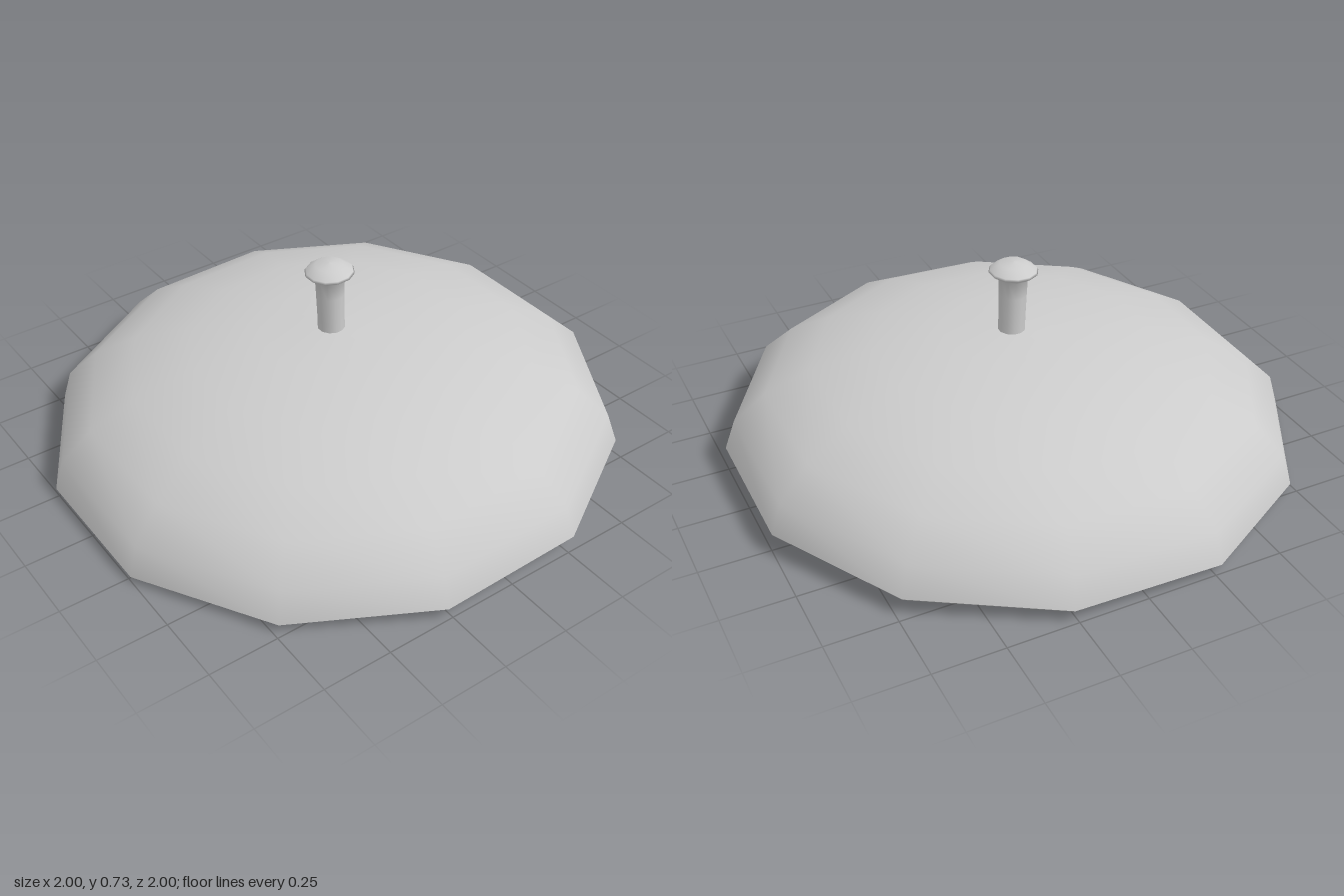
import * as THREE from 'three';

const material = new THREE.MeshStandardMaterial({ color: 0xcccccc, side: THREE.DoubleSide });

// Revolved part whose flat sides (not its corners) lie at the given profile distances
function revolve(name, profile, sides) {
  const k = 1 / Math.cos(Math.PI / sides);
  const points = profile.map(([r, y]) => new THREE.Vector2(r * k, y));
  const mesh = new THREE.Mesh(new THREE.LatheGeometry(points, sides, Math.PI / sides), material);
  mesh.name = name;
  return mesh;
}

export function createModel() {
  const group = new THREE.Group();
  group.name = 'lid';

  // The whole lid rests at a slight tilt
  const lid = new THREE.Group();
  lid.name = 'tiltedLid';
  lid.rotation.set(-0.005, 0, 0.03);
  group.add(lid);

  // Twelve-sided dome, its thin lip and its hollow underside
  lid.add(revolve('domeOuter', [
    [1, 0.05], [0.965, 0.16], [0.855, 0.265], [0.7, 0.35], [0.49, 0.415], [0.245, 0.455], [0, 0.464],
  ], 12));
  lid.add(revolve('rimLip', [
    [0.95, 0.045], [0.966, 0.03], [0.985, 0.035], [1, 0.05],
  ], 12));
  lid.add(revolve('domeInner', [
    [0, 0.435], [0.24, 0.425], [0.48, 0.388], [0.68, 0.325], [0.83, 0.245], [0.93, 0.145], [0.95, 0.045],
  ], 12));

  // Knob: stem flaring into a small mushroom cap
  const knob = revolve('knob', [
    [0.048, 0.44], [0.047, 0.5], [0.049, 0.6], [0.051, 0.665], [0.085, 0.69], [0.08, 0.697], [0.048, 0.72], [0, 0.725],
  ], 12);
  knob.position.x = 0.01;
  lid.add(knob);

  return group;
}
